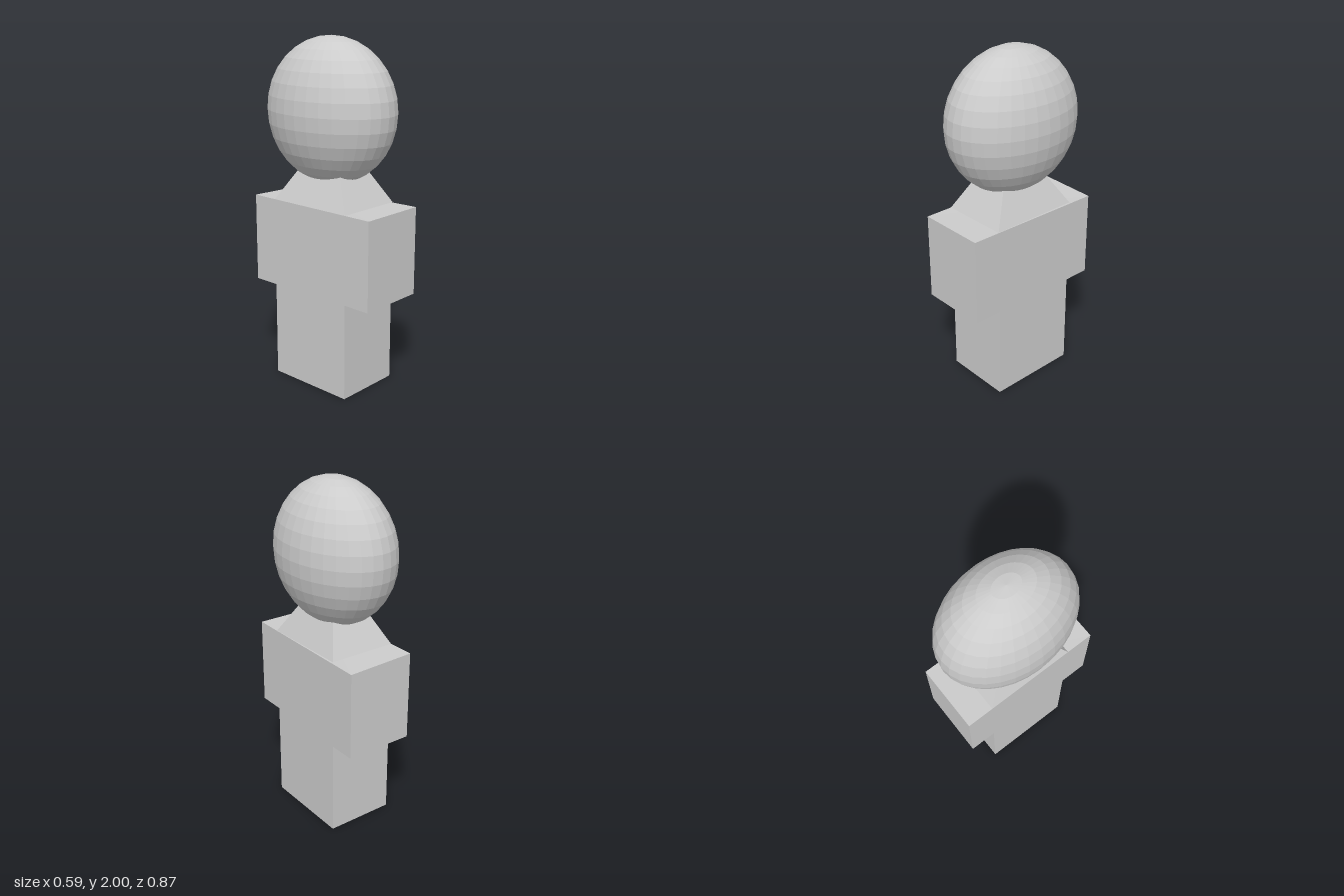
import * as THREE from 'three';

const material = new THREE.MeshStandardMaterial({ color: 0xcccccc, flatShading: true });

function addPart(group, name, geometry) {
  const mesh = new THREE.Mesh(geometry, material);
  mesh.name = name;
  group.add(mesh);
  return mesh;
}

// Box whose top can be narrower than its base
function block(width, height, depth, topWidth = width, topDepth = depth) {
  const geometry = new THREE.BoxGeometry(width, height, depth);
  const p = geometry.attributes.position;
  for (let i = 0; i < p.count; i++) {
    if (p.getY(i) > 0) {
      p.setX(i, Math.sign(p.getX(i)) * topWidth / 2);
      p.setZ(i, Math.sign(p.getZ(i)) * topDepth / 2);
    }
  }
  return geometry;
}

export function createModel() {
  const model = new THREE.Group();
  model.name = 'figure';

  // T-shaped body with an arm stub at each end, extruded across x
  const outline = [
    [0.27, 0], [0.27, 0.565], [0.435, 0.565], [0.435, 1.075],
    [-0.43, 1.075], [-0.43, 0.557], [-0.27, 0.557], [-0.27, 0],
  ];
  const shape = new THREE.Shape(outline.map(([z, y]) => new THREE.Vector2(-z, y)));
  const bodyGeometry = new THREE.ExtrudeGeometry(shape, { depth: 0.405, bevelEnabled: false });
  bodyGeometry.rotateY(Math.PI / 2);
  bodyGeometry.translate(-0.2, 0, 0);
  // The rear arm's top sags slightly at its left corner
  const p = bodyGeometry.attributes.position;
  for (let i = 0; i < p.count; i++) {
    if (p.getX(i) > 0 && p.getZ(i) < -0.4 && p.getY(i) > 1) p.setY(i, 1.063);
  }
  addPart(model, 'body', bodyGeometry);

  // Tapered neck running up into the head
  const neck = addPart(model, 'neck', block(0.405, 0.225, 0.54, 0.19, 0.26));
  neck.position.set(0.0025, 1.1875, 0);

  // Egg-shaped faceted head
  const head = addPart(model, 'head', new THREE.SphereGeometry(1, 32, 16));
  head.scale.set(0.295, 0.41, 0.412);
  head.position.set(0, 1.59, -0.012);

  return model;
}
